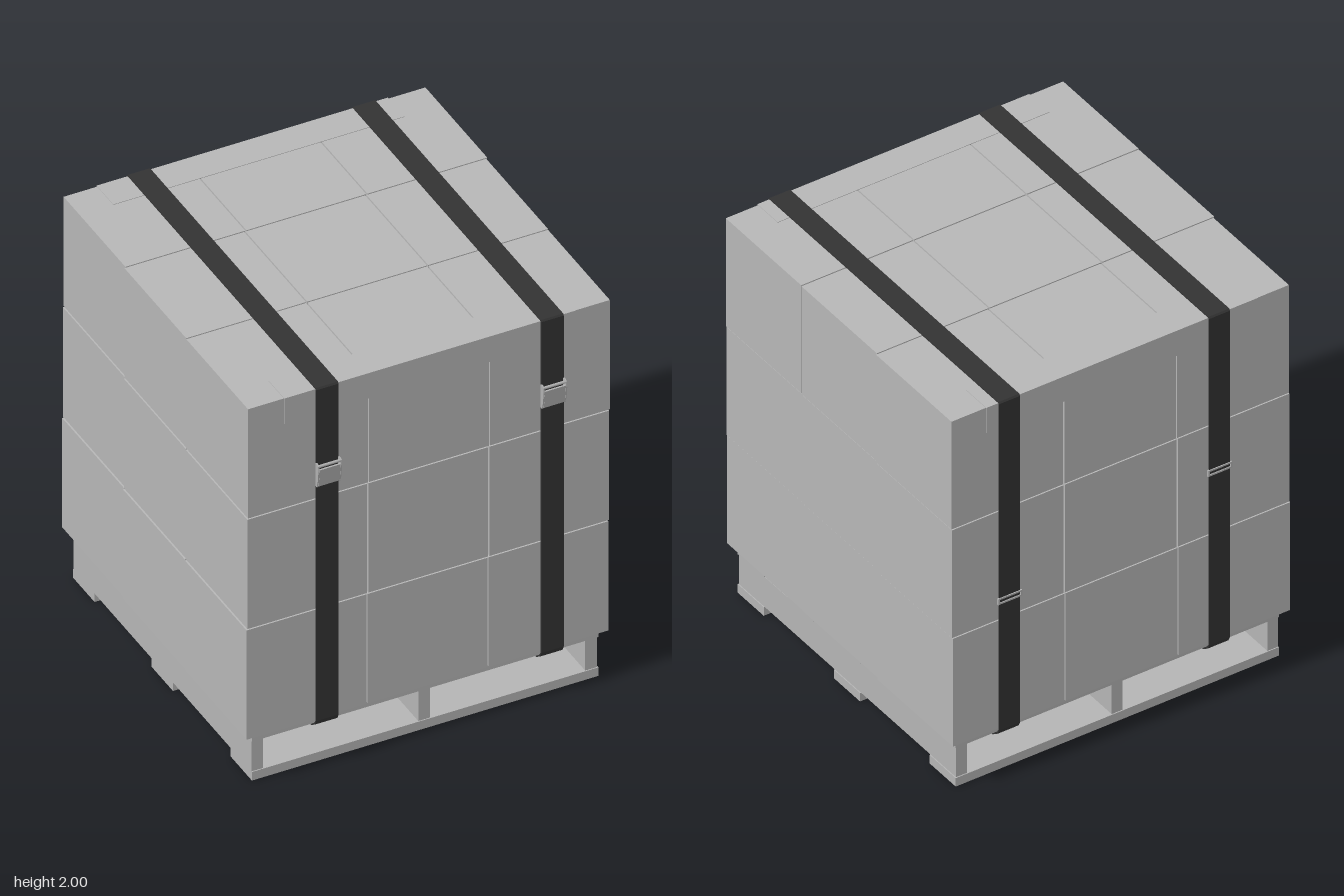
import * as THREE from 'three';

const mat = (name, color) => {
  const m = new THREE.MeshStandardMaterial({ color });
  m.name = name;
  return m;
};

export function createModel() {
  const root = new THREE.Group();
  root.name = 'loadedPallet';
  const carton = mat('carton grey', 0xb6b6b6);
  const wood = mat('pallet grey', 0xb4b4b4);
  const webbing = mat('strap black', 0x333333);
  const metal = mat('buckle grey', 0xb0b0b0);

  const group = (name, parent = root) => {
    const g = new THREE.Group();
    g.name = name;
    parent.add(g);
    return g;
  };
  const add = (parent, name, geometry, material, x = 0, y = 0, z = 0) => {
    const m = new THREE.Mesh(geometry, material);
    m.name = name;
    m.position.set(x, y, z);
    parent.add(m);
    return m;
  };
  // Box given by its minimum and maximum along each axis
  const span = (parent, name, material, [x0, x1], [y0, y1], [z0, z1]) =>
    add(parent, name, new THREE.BoxGeometry(x1 - x0, y1 - y0, z1 - z0), material,
      (x0 + x1) / 2, (y0 + y1) / 2, (z0 + z1) / 2);

  // Pallet: five deck boards, three stringers, three bottom boards
  const pallet = group('pallet');
  const boardX = [-0.835, 0.83];
  for (const z of [-0.745, -0.37, -0.02, 0.34, 0.72])
    span(pallet, 'deckBoard', wood, boardX, [0.205, 0.25], [z - 0.1, z + 0.1]);
  for (const x of [-0.807, -0.005, 0.797])
    span(pallet, 'stringer', wood, [x - 0.028, x + 0.028], [0.045, 0.205], [-0.84, 0.815]);
  for (const z of [-0.745, -0.015, 0.72])
    span(pallet, 'bottomBoard', wood, boardX, [0, 0.045], [z - 0.1, z + 0.1]);

  // Cartons: 3 x 3 x 3 with narrow gaps and slightly shifted rows
  const cartons = group('cartons');
  const size = 0.5815, gap = 0.006;
  const rowShift = [0.005, -0.003, -0.006];
  const layerShift = [-0.004, 0, 0.003];
  for (let layer = 0; layer < 3; layer++)
    for (let row = 0; row < 3; row++)
      for (let col = 0; col < 3; col++)
        add(cartons, 'carton', new THREE.BoxGeometry(size - gap, size - gap, size - gap), carton,
          (col - 1) * size + rowShift[row] + layerShift[layer],
          0.25 + (layer + 0.5) * size,
          -0.013 + (row - 1) * size);

  // Thin L-shaped guards along the top front and back edges
  for (const [name, edge, s] of [['frontEdgeGuard', 0.861, 1], ['backEdgeGuard', -0.887, -1]]) {
    const guard = group(name);
    const zs = (a, b) => [Math.min(a, b), Math.max(a, b)];
    span(guard, 'guardTop', carton, [-0.7, 0.7], [1.989, 1.994], zs(edge - s * 0.155, edge));
    span(guard, 'guardFace', carton, [-0.7, 0.7], [1.86, 1.994], zs(edge - s * 0.005, edge));
  }

  // Strap loop around the load, passing beneath the deck boards
  const loop = (t) => [
    [0.862 + t, 0.25], [0.862 + t, 1.99 + t * 0.4], [0.859 + t * 0.4, 1.994 + t],
    [-0.885 - t * 0.4, 1.994 + t], [-0.888 - t, 1.99 + t * 0.4], [-0.888 - t, 0.25],
    [-0.875 - t, 0.23 - t], [-0.845, 0.205 - t], [0.82, 0.205 - t], [0.85 + t, 0.23 - t],
  ].map(([z, y]) => new THREE.Vector2(z, y));
  const strapShape = new THREE.Shape(loop(0.006));
  strapShape.holes.push(new THREE.Path(loop(0)));
  const strapWidth = 0.108;
  const strapGeometry = new THREE.ExtrudeGeometry(strapShape, { depth: strapWidth, bevelEnabled: false });
  strapGeometry.translate(0, 0, -strapWidth / 2).rotateY(-Math.PI / 2);

  // Cheek outline of the cam buckle
  const cheekShape = new THREE.Shape([
    [0, -0.06], [0.01, -0.062], [0.02, -0.03], [0.027, 0.03], [0.024, 0.055], [0.01, 0.062], [0, 0.06],
  ].map(([z, y]) => new THREE.Vector2(z, y)));
  const cheekGeometry = new THREE.ExtrudeGeometry(cheekShape, { depth: 0.006, bevelEnabled: false });
  cheekGeometry.translate(0, 0, -0.003).rotateY(-Math.PI / 2);
  const barGeometry = new THREE.CylinderGeometry(0.007, 0.007, 0.114, 10).rotateZ(Math.PI / 2);

  for (const [name, x, frontY, backY] of [['rightStrap', -0.497, 1.55, 1.17], ['leftStrap', 0.585, 1.605, 0.94]]) {
    const strap = group(name);
    add(strap, 'strapLoop', strapGeometry, webbing, x);

    // Cam buckle on the front
    const buckle = group('camBuckle', strap);
    buckle.position.set(x, frontY, 0.868);
    for (const s of [-1, 1]) add(buckle, 'cheek', cheekGeometry, metal, s * 0.054);
    add(buckle, 'lever', new THREE.BoxGeometry(0.1, 0.092, 0.008), metal, 0, -0.008, 0.018).rotation.x = 0.12;
    add(buckle, 'topBar', barGeometry, metal, 0, 0.05, 0.017);
    add(buckle, 'bottomBar', barGeometry, metal, 0, -0.054, 0.007);

    // Flat slide loop on the back
    const slide = group('slideLoop', strap);
    slide.position.set(x, backY, -0.8945);
    add(slide, 'slideBar', new THREE.BoxGeometry(0.118, 0.008, 0.008), metal, 0, 0.012, 0);
    add(slide, 'slideBar', new THREE.BoxGeometry(0.118, 0.008, 0.008), metal, 0, -0.012, 0);
    for (const s of [-1, 1])
      add(slide, 'slideEnd', new THREE.BoxGeometry(0.008, 0.032, 0.008), metal, s * 0.058, 0, 0);
  }
  return root;
}
